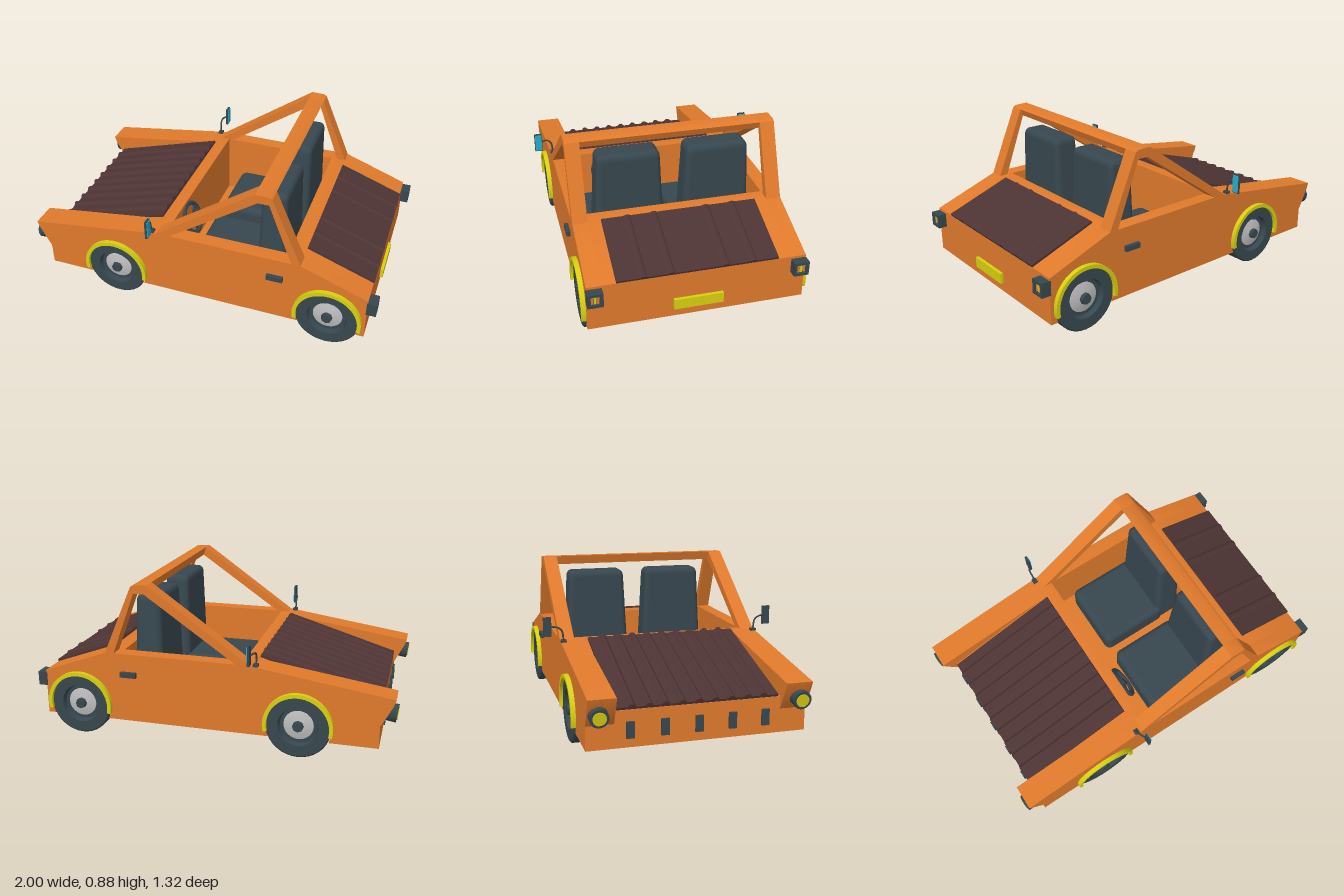
import * as THREE from 'three';
import { toCreasedNormals } from 'three/addons/utils/BufferGeometryUtils.js';
import { RoundedBoxGeometry } from 'three/addons/geometries/RoundedBoxGeometry.js';

const mat = (name, color) => {
  const m = new THREE.MeshStandardMaterial({ color });
  m.name = name;
  return m;
};

const AXLES = [-0.49, 0.745], AXLE_Y = 0.175, ARCH_R = 0.18, FLOOR = 0.1;

export function createModel() {
  const orange = mat('orange paint', 0xe07a2c);
  const slate = mat('slate rubber', 0x37474f);
  const brown = mat('brown panel', 0x4e3434);
  const yellow = mat('yellow trim', 0xd8d010);
  const grey = mat('rim grey', 0xbdbdbd);
  const blue = mat('mirror blue', 0x26b0cc);
  const car = new THREE.Group();
  car.name = 'car';

  const add = (name, geo, material, x = 0, y = 0, z = 0, parent = car) => {
    const m = new THREE.Mesh(geo, material);
    m.name = name;
    m.position.set(x, y, z);
    parent.add(m);
    return m;
  };
  const box = (name, material, x0, x1, y0, y1, z0, z1) =>
    add(name, new THREE.BoxGeometry(x1 - x0, y1 - y0, z1 - z0), material,
      (x0 + x1) / 2, (y0 + y1) / 2, (z0 + z1) / 2);

  // Side profile in x and y, with optional wheel arches cut into its bottom edge
  const profile = (top, arches = []) => {
    const s = new THREE.Shape();
    const last = top[top.length - 1];
    const a = Math.asin((AXLE_Y - FLOOR) / ARCH_R);
    s.moveTo(last[0], last[1]);
    for (const cx of arches) {
      s.lineTo(cx - ARCH_R * Math.cos(a), FLOOR);
      s.absarc(cx, AXLE_Y, ARCH_R, Math.PI + a, -a, true);
    }
    for (const [x, y] of top) s.lineTo(x, y);
    return s;
  };
  // Extrude a profile between two z values
  const slab = (name, shape, material, z0, z1) => {
    const g = new THREE.ExtrudeGeometry(shape, { depth: z1 - z0, bevelEnabled: false, curveSegments: 24 });
    return add(name, toCreasedNormals(g, 0.6), material, 0, 0, z0);
  };
  const bothSides = (name, shape, material, z0, z1) => {
    slab(name, shape, material, z0, z1);
    slab(name, shape, material, -z1, -z0);
  };

  // Body shell
  const nose = [[-0.985, 0.376], [-0.975, 0.345], [-0.92, 0.235], [-0.912, 0.225], [-0.912, FLOOR]];
  bothSides('bodySide', profile([[0.95, FLOOR], [0.95, 0.353], [0.58, 0.488], [-0.22, 0.488], ...nose], AXLES),
    orange, 0.49, 0.57);
  bothSides('frontFender', profile([[-0.18, FLOOR], [-0.18, 0.488], [-0.22, 0.488], ...nose], [AXLES[0]]),
    orange, 0.43, 0.49);
  slab('frontBody', profile([[-0.18, FLOOR], [-0.18, 0.488], [-0.25, 0.488], [-0.912, 0.29], [-0.912, FLOOR]],
    [AXLES[0]]), orange, -0.43, 0.43);
  slab('rearBody', profile([[0.95, FLOOR], [0.95, 0.353], [0.58, 0.488], [0.5, 0.488], [0.5, FLOOR]],
    [AXLES[1]]), orange, -0.49, 0.49);
  box('cabinFloor', orange, -0.18, 0.5, FLOOR, 0.12, -0.49, 0.49);

  // Ribbed panels laid along a slope
  const ribbed = (name, from, to, halfW, ribs, ribW, ribH) => {
    const s = new THREE.Shape();
    const t = 0.012;
    s.moveTo(-halfW, -0.005);
    s.lineTo(halfW, -0.005);
    s.lineTo(halfW, t);
    for (const r of [...ribs].reverse()) {
      s.lineTo(r + ribW, t);
      s.lineTo(r + ribW * 0.35, t + ribH);
      s.lineTo(r - ribW * 0.35, t + ribH);
      s.lineTo(r - ribW, t);
    }
    s.lineTo(-halfW, t);
    const d = new THREE.Vector3(to[0] - from[0], to[1] - from[1], 0);
    const g = new THREE.ExtrudeGeometry(s, { depth: d.length(), bevelEnabled: false });
    d.normalize();
    g.applyMatrix4(new THREE.Matrix4().makeBasis(
      new THREE.Vector3(0, 0, -1), new THREE.Vector3(-d.y, d.x, 0), d));
    add(name, g, brown, from[0], from[1], 0);
  };
  const hoodRibs = Array.from({ length: 9 }, (_, i) => (i - 4) * 0.085);
  ribbed('hood', [-0.91, 0.291], [-0.25, 0.489], 0.42, hoodRibs, 0.022, 0.014);
  ribbed('trunkLid', [0.582, 0.488], [0.95, 0.354], 0.42, [-0.285, -0.142, 0.142, 0.285], 0.02, 0.008);

  // Roll frame
  const frame = [[-0.23, 0.485], [-0.155, 0.485], [0.345, 0.83], [0.405, 0.83], [0.535, 0.485],
    [0.585, 0.485], [0.42, 0.868], [0.405, 0.877], [0.33, 0.88]];
  bothSides('rollFrameSide', profile(frame), orange, 0.49, 0.57);
  slab('rollFrameTop', profile([[0.345, 0.83], [0.405, 0.83], [0.42, 0.868], [0.405, 0.877], [0.33, 0.88]]),
    orange, -0.49, 0.49);

  // Wheels
  const lathe = (pts) => toCreasedNormals(
    new THREE.LatheGeometry(pts.map(([r, y]) => new THREE.Vector2(r, y)), 36).rotateX(Math.PI / 2), 0.5);
  const tyre = lathe([[0, 0], [0.175, 0], [0.175, 0.142], [0.168, 0.148], [0.108, 0.148], [0.1, 0.12], [0.08, 0.12]]);
  const rim = lathe([[0.082, 0.118], [0.08, 0.122], [0.03, 0.135], [0, 0.135]]);
  const hub = new THREE.CylinderGeometry(0.028, 0.032, 0.03, 8).rotateX(Math.PI / 2);
  for (const x of AXLES) for (const s of [1, -1]) {
    const wheel = new THREE.Group();
    wheel.name = 'wheel';
    wheel.position.set(x, AXLE_Y, s * 0.43);
    if (s < 0) wheel.rotation.y = Math.PI;
    add('tyre', tyre, slate, 0, 0, 0, wheel);
    add('rim', rim, grey, 0, 0, 0, wheel);
    add('hub', hub, slate, 0, 0, 0.14, wheel);
    car.add(wheel);
  }

  // Yellow arch trims
  for (const x of AXLES) {
    const arch = new THREE.Shape();
    arch.absarc(x, AXLE_Y, 0.188, -0.21, Math.PI + 0.21, false);
    arch.absarc(x, AXLE_Y, 0.167, Math.PI + 0.21, -0.21, true);
    bothSides('archTrim', arch, yellow, 0.56, 0.595);
  }

  // Seats
  const back = new RoundedBoxGeometry(0.17, 0.645, 0.4, 4, 0.035);
  const p = back.attributes.position;
  for (let i = 0; i < p.count; i++) {
    const k = p.getY(i) / 0.645 + 0.5;
    p.setX(i, p.getX(i) * (1 - 0.18 * k));
    p.setZ(i, p.getZ(i) * (1 - 0.16 * k * k));
  }
  back.computeVertexNormals();
  const cushion = new RoundedBoxGeometry(0.42, 0.18, 0.41, 4, 0.04);
  for (const z of [0.24, -0.245]) {
    add('seatBack', back, slate, 0.387, 0.4625, z);
    add('seatCushion', cushion, slate, 0.14, 0.21, z);
  }

  // Steering wheel, facing the driver
  const steering = new THREE.Group();
  steering.name = 'steeringWheel';
  steering.position.set(-0.145, 0.385, 0.245);
  steering.rotation.set(0, Math.PI / 2, 0);
  const tilt = new THREE.Group();
  tilt.rotation.x = -0.4;
  steering.add(tilt);
  add('steeringRim', new THREE.TorusGeometry(0.087, 0.013, 10, 32), slate, 0, 0, 0, tilt);
  for (let i = 0; i < 3; i++) {
    const a = Math.PI / 2 + i * Math.PI * 2 / 3 + Math.PI;
    const spoke = add('spoke', new THREE.BoxGeometry(0.085, 0.018, 0.01), slate,
      Math.cos(a) * 0.042, Math.sin(a) * 0.042, 0, tilt);
    spoke.rotation.z = a;
  }
  add('steeringColumn', new THREE.CylinderGeometry(0.022, 0.022, 0.08, 16).rotateX(Math.PI / 2), slate, 0, 0, -0.03, tilt);
  car.add(steering);

  // Parts repeated on each side
  for (const s of [1, -1]) {
    const sided = (name, m, x0, x1, y0, y1, z0, z1) =>
      box(name, m, x0, x1, y0, y1, Math.min(s * z0, s * z1), Math.max(s * z0, s * z1));

    sided('doorHandle', slate, 0.405, 0.495, 0.36, 0.388, 0.565, 0.592);

    // Wing mirror
    sided('mirrorBase', slate, -0.272, -0.245, 0.483, 0.497, 0.54, 0.57);
    const arm = new THREE.CatmullRomCurve3([[-0.26, 0.49, 0.555], [-0.262, 0.55, 0.565], [-0.262, 0.568, 0.59],
      [-0.245, 0.568, 0.63]].map(([x, y, z]) => new THREE.Vector3(x, y, s * z)));
    add('mirrorArm', new THREE.TubeGeometry(arm, 16, 0.005, 8), slate);
    sided('mirrorHousing', slate, -0.248, -0.236, 0.515, 0.622, 0.618, 0.662);
    sided('mirrorGlass', blue, -0.236, -0.232, 0.52, 0.617, 0.621, 0.659);

    // Headlight, tilted slightly down
    const lamp = new THREE.Group();
    lamp.name = 'headlight';
    lamp.position.set(-0.965, 0.288, s * 0.515);
    lamp.rotation.z = 0.15;
    const disc = (r, l) => new THREE.CylinderGeometry(r, r, l, 24).rotateZ(Math.PI / 2);
    add('headlightHousing', disc(0.048, 0.055), slate, 0, 0, 0, lamp);
    add('headlightLens', disc(0.034, 0.006), yellow, -0.029, 0, 0, lamp);
    car.add(lamp);

    // Tail light
    sided('tailLightHousing', slate, 0.945, 0.985, 0.262, 0.34, 0.492, 0.572);
    for (const [y0, y1] of [[0.262, 0.277], [0.325, 0.34]])
      sided('tailLightFrame', slate, 0.985, 0.998, y0, y1, 0.492, 0.572);
    for (const z of [0.492, 0.557])
      sided('tailLightFrame', slate, 0.985, 0.998, 0.277, 0.325, z, z + 0.015);
    [orange, yellow, orange].forEach((m, i) =>
      sided('tailLightStrip', m, 0.985, 0.99, 0.28, 0.322, 0.511 + i * 0.015, 0.523 + i * 0.015));
  }

  // Front grille slots and rear plate
  for (const z of [-0.35, -0.175, 0, 0.175, 0.35])
    box('grilleSlot', slate, -0.925, -0.905, 0.148, 0.232, z - 0.02, z + 0.02);
  box('rearPlate', yellow, 0.945, 0.967, 0.15, 0.208, -0.13, 0.13);

  return car;
}
